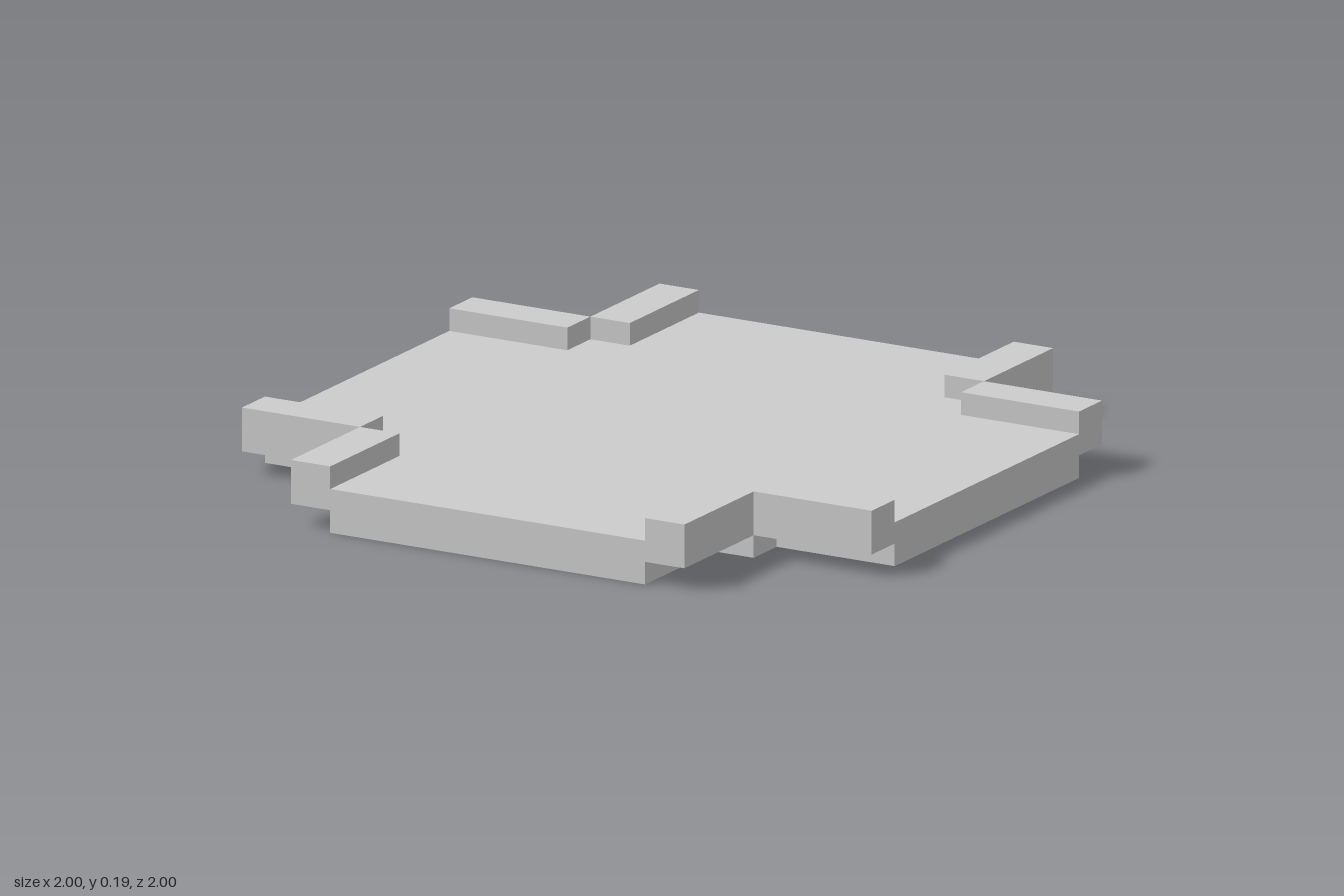
import * as THREE from 'three';

const INNER = 0.5, OUTER = 0.625, END = 1;   // plan sizes
const THICK = 0.125, RAIL_Y = 0.0645;        // slab thickness, underside of rails

export function createModel() {
  const model = new THREE.Group();
  model.name = 'crossroadTile';
  const material = new THREE.MeshStandardMaterial({ color: 0xcccccc, flatShading: true });

  // Cross-shaped slab: one stepped corner, turned four times
  const corner = [[END, INNER], [OUTER, INNER], [OUTER, OUTER], [INNER, OUTER], [INNER, END]];
  const outline = [];
  for (let i = 0; i < 4; i++) {
    for (const [x, y] of corner) {
      outline.push(new THREE.Vector2(x, y).rotateAround(new THREE.Vector2(), i * Math.PI / 2));
    }
  }
  const slabGeometry = new THREE.ExtrudeGeometry(new THREE.Shape(outline), { depth: THICK, bevelEnabled: false });
  slabGeometry.rotateX(-Math.PI / 2);
  const slab = new THREE.Mesh(slabGeometry, material);
  slab.name = 'slab';
  model.add(slab);

  // Raised edge rails, two along each arm
  const railGeometry = new THREE.BoxGeometry(OUTER - INNER, THICK, END - OUTER);
  for (let i = 0; i < 4; i++) {
    const arm = new THREE.Group();
    arm.name = 'armRails';
    arm.rotation.y = i * Math.PI / 2;
    for (const side of [-1, 1]) {
      const rail = new THREE.Mesh(railGeometry, material);
      rail.name = side > 0 ? 'leftRail' : 'rightRail';
      rail.position.set(side * (INNER + OUTER) / 2, RAIL_Y + THICK / 2, (OUTER + END) / 2);
      arm.add(rail);
    }
    model.add(arm);
  }
  return model;
}
